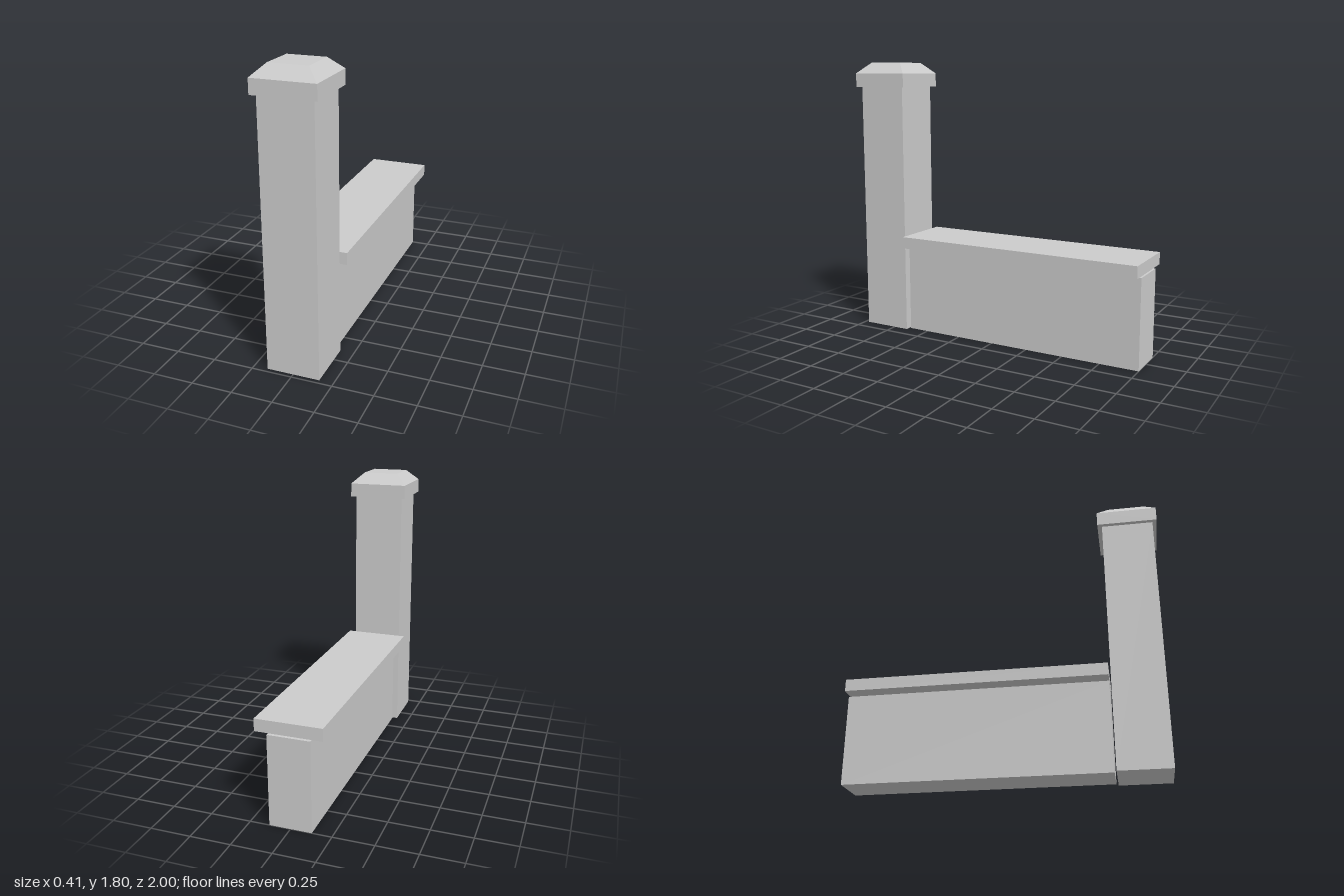
import * as THREE from 'three';

const material = new THREE.MeshStandardMaterial({ color: 0xcccccc, flatShading: true });

// Box given by half width and its y and z extents
function block(name, halfWidth, y0, y1, z0, z1) {
  const geometry = new THREE.BoxGeometry(halfWidth * 2, y1 - y0, z1 - z0);
  const mesh = new THREE.Mesh(geometry, material);
  mesh.name = name;
  mesh.position.set(0, (y0 + y1) / 2, (z0 + z1) / 2);
  return mesh;
}

export function createModel() {
  const model = new THREE.Group();
  model.name = 'gatePostWithWall';

  // Tall square post and the low wall running back from it
  model.add(block('post', 0.163, 0, 1.64, 0.647, 0.973));
  model.add(block('wall', 0.13, 0, 0.566, -1, 0.635));
  model.add(block('wallCoping', 0.204, 0.577, 0.653, -1, 0.635));

  // Square cap with a sloped, flat-topped upper part
  const profile = [[0, 1.64], [0.191, 1.64], [0.191, 1.73], [0.117, 1.8], [0, 1.8]]
    .map(([half, y]) => new THREE.Vector2(half * Math.SQRT2, y));
  const cap = new THREE.Mesh(new THREE.LatheGeometry(profile, 4, Math.PI / 4), material);
  cap.name = 'postCap';
  cap.position.z = 0.809;
  model.add(cap);

  return model;
}
